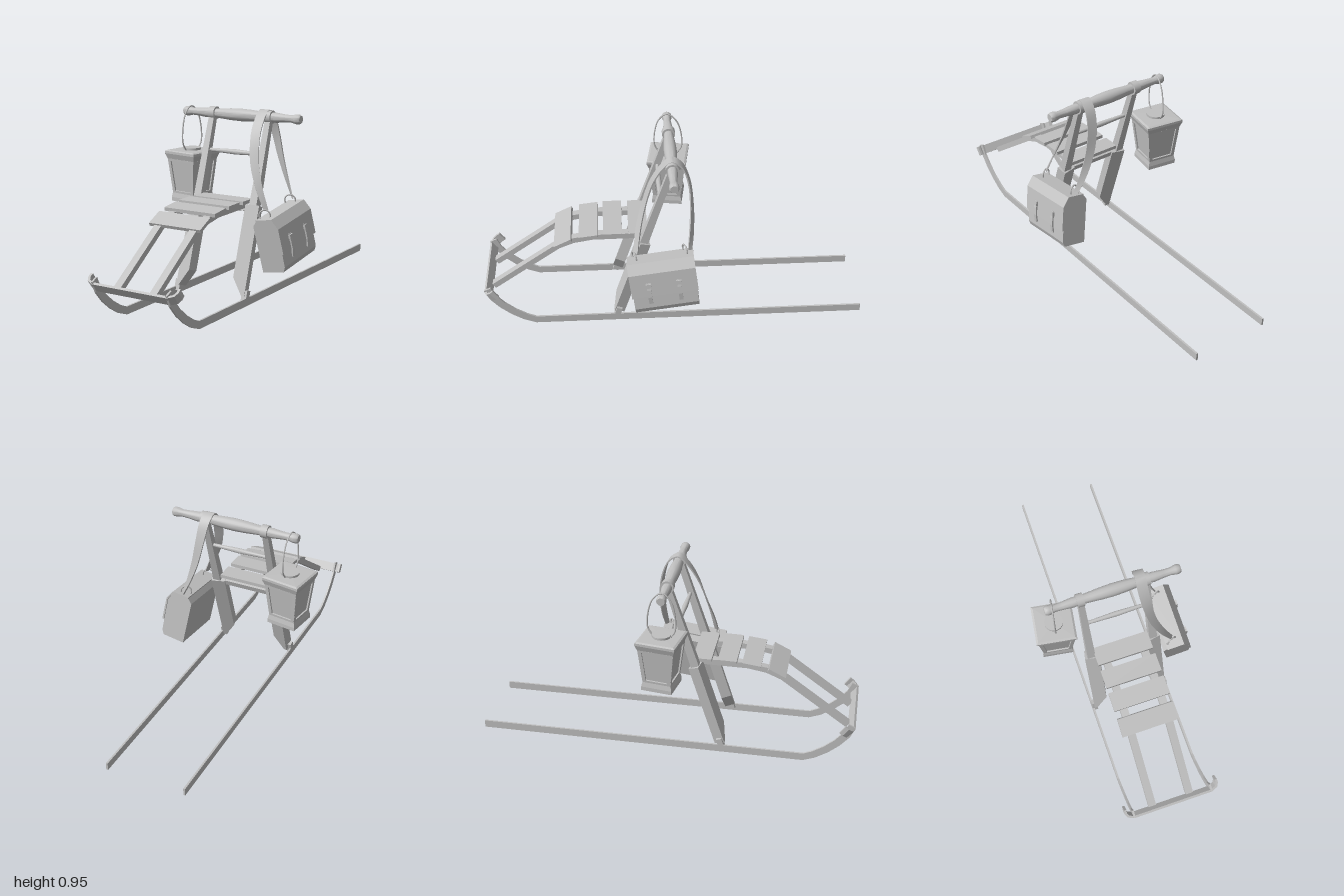
import * as THREE from 'three';
import { toCreasedNormals } from 'three/addons/utils/BufferGeometryUtils.js';

const CX = 0.0225; // centre line of the sled
const grey = new THREE.MeshStandardMaterial({ color: 0xc0c0c0 });
grey.name = 'plain grey';

function add(parent, name, geometry, pos = [0, 0, 0], rot = [0, 0, 0]) {
  const mesh = new THREE.Mesh(geometry, grey);
  mesh.name = name;
  mesh.position.set(...pos);
  mesh.rotation.set(...rot);
  parent.add(mesh);
  return mesh;
}
const box = (x, y, z) => new THREE.BoxGeometry(x, y, z);
const polygon = (pts) => new THREE.Shape(pts.map((p) => new THREE.Vector2(...p)));

// Extrusion centred on its own depth
function slab(shape, depth) {
  const g = new THREE.ExtrudeGeometry(shape, { depth, bevelEnabled: false });
  return g.translate(0, 0, -depth / 2);
}

// Outline of a band of constant thickness along a polyline
function band(pts, t) {
  const left = [], right = [];
  pts.forEach(([x, y], i) => {
    const a = pts[Math.max(i - 1, 0)], b = pts[Math.min(i + 1, pts.length - 1)];
    const l = Math.hypot(b[0] - a[0], b[1] - a[1]);
    const nx = (-(b[1] - a[1]) / l) * t / 2, ny = ((b[0] - a[0]) / l) * t / 2;
    left.push([x + nx, y + ny]);
    right.unshift([x - nx, y - ny]);
  });
  return polygon([...left, ...right]);
}
// Band drawn in (z, y), given width along x
const sideBand = (pts, t, width) => slab(band(pts, t), width).rotateY(-Math.PI / 2);

// Turned bar along x from [radius, position] pairs
const turned = (profile) => toCreasedNormals(
  new THREE.LatheGeometry(profile.map((p) => new THREE.Vector2(...p)), 20).rotateZ(-Math.PI / 2), 0.6);

// Four sided solid from [half width, height] pairs
function squareLathe(profile) {
  const pts = profile.map(([r, y]) => new THREE.Vector2(r * Math.SQRT2, y));
  const g = new THREE.LatheGeometry(pts, 4, Math.PI / 4).toNonIndexed();
  g.computeVertexNormals();
  return g;
}

// Flat strap swept along a curve; its width turns from x towards z at the ends
function ribbon(points, thickness, widthAt, twistAt, steps = 36) {
  const curve = new THREE.CatmullRomCurve3(points.map((p) => new THREE.Vector3(...p)));
  const pos = [], index = [];
  for (let i = 0; i <= steps; i++) {
    const u = i / steps, c = curve.getPoint(u), t = curve.getTangent(u), a = twistAt(u);
    const w = new THREE.Vector3(Math.cos(a), 0, Math.sin(a));
    w.addScaledVector(t, -w.dot(t)).normalize();
    const n = new THREE.Vector3().crossVectors(t, w);
    for (const [sw, sn] of [[1, 1], [-1, 1], [-1, -1], [1, -1]]) {
      const p = c.clone().addScaledVector(w, sw * widthAt(u) / 2).addScaledVector(n, sn * thickness / 2);
      pos.push(p.x, p.y, p.z);
    }
    if (i < steps) for (let j = 0; j < 4; j++) {
      const a0 = i * 4 + j, b0 = i * 4 + (j + 1) % 4;
      index.push(a0, b0, b0 + 4, a0, b0 + 4, a0 + 4);
    }
  }
  const g = new THREE.BufferGeometry();
  g.setAttribute('position', new THREE.Float32BufferAttribute(pos, 3));
  g.setIndex(index);
  return toCreasedNormals(g, 0.6);
}

function wire(points, r) {
  const curve = new THREE.CatmullRomCurve3(points.map((p) => new THREE.Vector3(...p)));
  return new THREE.TubeGeometry(curve, 32, r, 6);
}

function buildSled() {
  const sled = new THREE.Group();
  sled.name = 'sled';
  sled.position.x = CX;
  for (const s of [-1, 1]) {
    // Steel runner curling up at the front
    add(sled, 'runner', sideBand([[-1, 0.02], [0.735, 0.02], [0.79, 0.042], [0.85, 0.08],
      [0.905, 0.127], [0.95, 0.18], [0.975, 0.235]], 0.04, 0.01), [s * 0.213, 0, 0]);
    // Rail carrying the seat
    add(sled, 'seatRail', sideBand([[0.95, 0.182], [0.6, 0.43], [0.52, 0.463], [0.42, 0.48],
      [0.16, 0.482]], 0.03, 0.04), [s * 0.103, 0, 0]);
    // Raked upright: broad foot and slim upper post
    const upright = new THREE.Group();
    upright.name = 'upright';
    upright.position.set(0, 0.045, 0.3);
    upright.rotation.x = -0.32;
    sled.add(upright);
    const foot = [[-0.037, 0], [-0.02, 0], [0.037, 0.085], [0.037, 0.46], [-0.037, 0.46]];
    add(upright, 'foot', slab(polygon(foot.map(([x, y]) => [-s * x, y])), 0.055),
      [s * 0.165, 0, 0], [0, s * 0.2, 0]);
    const post = new THREE.CylinderGeometry(0.022, 0.031, 0.49, 4, 1).rotateY(Math.PI / 4).toNonIndexed();
    post.computeVertexNormals();
    add(upright, 'post', post, [s * 0.17, 0.67, 0]);
    add(upright, 'footPin', box(0.03, 0.06, 0.03), [s * 0.203, 0, 0]);
    add(sled, 'handleCollar', new THREE.CylinderGeometry(0.034, 0.034, 0.037, 20).rotateZ(Math.PI / 2),
      [s * 0.17, 0.917, 0.01]);
  }
  // Seat slats: z, y, tilt
  for (const [z, y, tilt] of [[0.185, 0.504, 0], [0.315, 0.505, 0.02], [0.44, 0.495, 0.12], [0.572, 0.458, 0.46]])
    add(sled, 'seatSlat', box(0.3, 0.018, 0.098), [-0.003, y, z], [tilt, 0, 0]);
  add(sled, 'seatBackRail', box(0.3, 0.03, 0.025), [0, 0.465, 0.163], [-0.32, 0, 0]);
  add(sled, 'middleBar', turned([[0.009, -0.16], [0.011, -0.08], [0.014, 0], [0.011, 0.08], [0.009, 0.16]]),
    [0, 0.731, 0.07]);
  // Turned handle with rounded grips
  const half = [[0, 0.352], [0.02, 0.352], [0.025, 0.343], [0.025, 0.325], [0.019, 0.3], [0.021, 0.26],
    [0.026, 0.21], [0.024, 0.16], [0.027, 0.11], [0.031, 0.06], [0.033, 0]];
  const mirrored = half.map(([r, y]) => [r, -y]);
  add(sled, 'handle', turned([...mirrored, ...half.slice(0, -1).reverse()]), [0, 0.916, 0.01]);
  // Front bumper with ends curling back
  add(sled, 'bumper', slab(band([[-0.25, 0.055], [-0.252, 0.035], [-0.243, 0.014], [-0.215, 0], [0.215, 0],
    [0.243, 0.014], [0.252, 0.035], [0.25, 0.055]], 0.013), 0.05), [0, 0.2, 0.972], [-0.927, 0, 0]);
  return sled;
}

function buildLantern() {
  const lantern = new THREE.Group();
  lantern.name = 'lantern';
  lantern.position.set(-0.29, 0, 0.005);
  lantern.rotation.y = -0.153;
  add(lantern, 'lanternBody', squareLathe([[0, 0.43], [0.08, 0.43], [0.08, 0.45], [0.075, 0.475], [0.067, 0.475],
    [0.086, 0.662], [0.094, 0.662], [0.104, 0.69], [0.104, 0.703], [0.094, 0.708], [0, 0.711]]));
  // Raised frame round each pane
  for (let i = 0; i < 4; i++) {
    const side = new THREE.Group();
    side.name = 'lanternSide';
    side.rotation.y = i * Math.PI / 2;
    lantern.add(side);
    const frame = polygon([[-0.074, 0], [0.074, 0], [0.093, 0.188], [-0.093, 0.188]]);
    frame.holes.push(polygon([[-0.057, 0.012], [-0.073, 0.176], [0.073, 0.176], [0.057, 0.012]]));
    add(side, 'paneFrame', slab(frame, 0.008), [0, 0.475, 0.071], [0.1, 0, 0]);
  }
  add(lantern, 'lanternCap', new THREE.CylinderGeometry(0.048, 0.048, 0.02, 20), [0, 0.711, 0]);
  add(lantern, 'lanternBail', wire([[0, 0.71, -0.048], [0, 0.75, -0.072], [0, 0.84, -0.068], [0, 0.91, -0.042],
    [0, 0.945, 0.005], [0, 0.91, 0.048], [0, 0.84, 0.07], [0, 0.75, 0.072], [0, 0.71, 0.048]], 0.004));
  return lantern;
}

function buildBag() {
  const bag = new THREE.Group();
  bag.name = 'bag';
  bag.position.set(0.317, 0.318, 0.06);
  bag.rotation.set(0.13, 0, 0.16);
  add(bag, 'bagBody', slab(polygon([[-0.066, -0.135], [0.055, -0.135], [0.068, -0.11], [0.07, 0.09], [0.045, 0.135],
    [-0.045, 0.135], [-0.068, 0.11]]), 0.33));
  add(bag, 'bagFlap', slab(band([[-0.045, 0.138], [0.046, 0.138], [0.073, 0.09], [0.074, -0.04]], 0.009), 0.342));
  for (const z of [-0.078, 0.078]) {
    add(bag, 'closingStrap', slab(band([[0.077, 0.04], [0.083, 0], [0.083, -0.04], [0.076, -0.08]], 0.008), 0.02), [0, 0, z]);
    add(bag, 'buckle', box(0.012, 0.022, 0.028), [0.083, 0.025, z]);
  }
  for (const z of [-0.13, 0.13])
    add(bag, 'strapRing', new THREE.TorusGeometry(0.028, 0.004, 6, 16), [-0.01, 0.155, z], [0, 0.4, 0]);
  return bag;
}

export function createModel() {
  const model = new THREE.Group();
  model.name = 'kickSled';
  model.add(buildSled(), buildLantern(), buildBag());
  // Shoulder strap slung over the handle
  const ends = (u) => Math.abs(2 * u - 1);
  add(model, 'shoulderStrap', ribbon([[0.285, 0.475, 0.2], [0.235, 0.58, 0.185], [0.19, 0.7, 0.155], [0.168, 0.83, 0.11],
    [0.163, 0.915, 0.055], [0.165, 0.951, 0.01], [0.17, 0.92, -0.04], [0.18, 0.83, -0.075],
    [0.205, 0.7, -0.088], [0.245, 0.58, -0.085], [0.285, 0.485, -0.075]],
  0.007, (u) => 0.055 - 0.032 * ends(u) ** 2, (u) => 1.0 * ends(u) ** 2 * Math.sign(u - 0.5)));
  return model;
}
